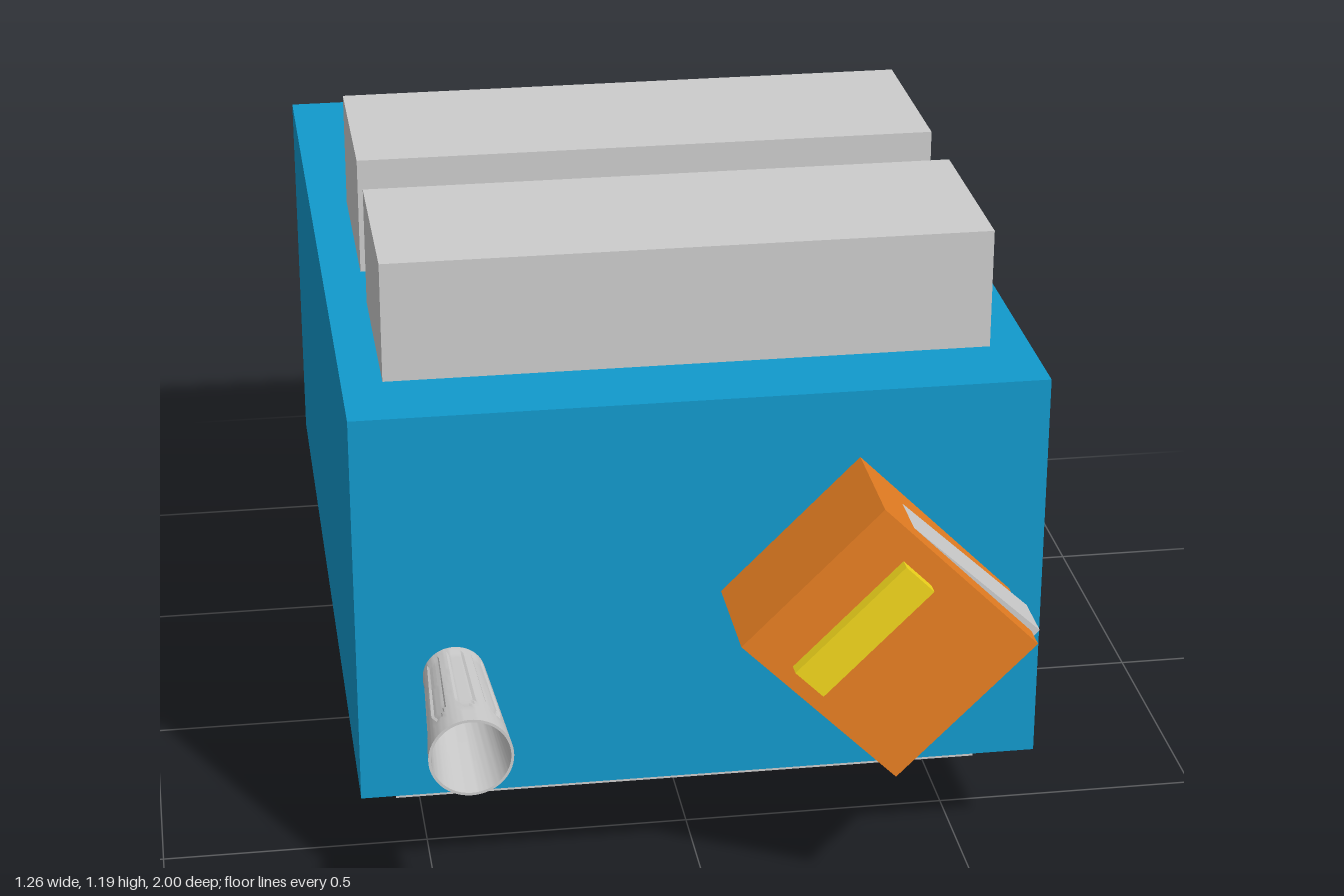
import * as THREE from 'three';
import { toCreasedNormals } from 'three/addons/utils/BufferGeometryUtils.js';

const grey = new THREE.MeshStandardMaterial({ color: 0xcccccc });
const blue = new THREE.MeshStandardMaterial({ color: 0x1199cc });
const orange = new THREE.MeshStandardMaterial({ color: 0xe67e22 });
const yellow = new THREE.MeshStandardMaterial({ color: 0xf1d61c });

function box(name, material, size, position, angle = 0) {
  const mesh = new THREE.Mesh(new THREE.BoxGeometry(...size), material);
  mesh.name = name;
  mesh.position.set(...position);
  mesh.rotation.z = THREE.MathUtils.degToRad(angle);
  return mesh;
}

// Tapered hollow cup with shallow flutes pressed into its outer wall
function cupGeometry() {
  const length = 0.305, rBase = 0.057, rRim = 0.075;
  const profile = [new THREE.Vector2(0, 0)];
  const rows = 24;
  for (let i = 0; i <= rows; i++) {
    const t = i / rows;
    profile.push(new THREE.Vector2(THREE.MathUtils.lerp(rBase, rRim, t), t * length));
  }
  profile.push(new THREE.Vector2(0.07, length), new THREE.Vector2(0.054, 0.02), new THREE.Vector2(0, 0.02));
  const geometry = new THREE.LatheGeometry(profile, 96);
  const p = geometry.attributes.position;
  const perColumn = profile.length, flutes = 8;
  for (let i = 0; i < p.count; i++) {
    const row = i % perColumn;
    if (row < 3 || row > rows + 1) continue;
    const x = p.getX(i), z = p.getZ(i), y = p.getY(i);
    const wave = Math.cos(flutes * Math.atan2(x, z));
    const top = 0.22 + 0.025 * wave;
    if (wave < -0.2 || y > top) continue;
    const k = 1 - 0.05;
    p.setX(i, x * k);
    p.setZ(i, z * k);
  }
  return toCreasedNormals(geometry, 0.5);
}

export function createModel() {
  const model = new THREE.Group();
  model.name = 'boxModel';

  // Main body
  model.add(box('body', blue, [1.265, 0.76, 1.68], [0, 0.585, -0.16]));

  // Two blocks crossing the body, each with a rounded foot below
  for (const z of [0.328, -0.203]) {
    model.add(box('crossBlock', grey, [1.115, 1.087, 0.376], [0, 0.6485, z]));
  }
  for (const z of [0.3, -0.232]) {
    const foot = new THREE.Mesh(new THREE.SphereGeometry(1, 32, 20), blue);
    foot.name = 'foot';
    foot.scale.set(0.076, 0.085, 0.057);
    foot.position.set(0, 0.085, z);
    model.add(foot);
  }

  // Thin rail under the back
  model.add(box('rearRail', grey, [1.216, 0.07, 0.05], [0, 0.19, -0.795]));

  // Tilted box on the front, with its inset slab and front bar
  model.add(box('tiltedBox', orange, [0.356, 0.405, 0.24], [0.303, 0.566, 0.78], 45));
  model.add(box('tiltedSlab', grey, [0.286, 0.331, 0.1], [0.369, 0.5575, 0.8], 47));
  model.add(box('frontBar', yellow, [0.275, 0.073, 0.045], [0.25, 0.609, 0.9025], 45));

  // Fluted cup pointing forward
  const cup = new THREE.Mesh(cupGeometry(), grey);
  cup.name = 'flutedCup';
  cup.rotation.x = Math.PI / 2;
  cup.position.set(-0.457, 0.457, 0.695);
  model.add(cup);

  return model;
}
